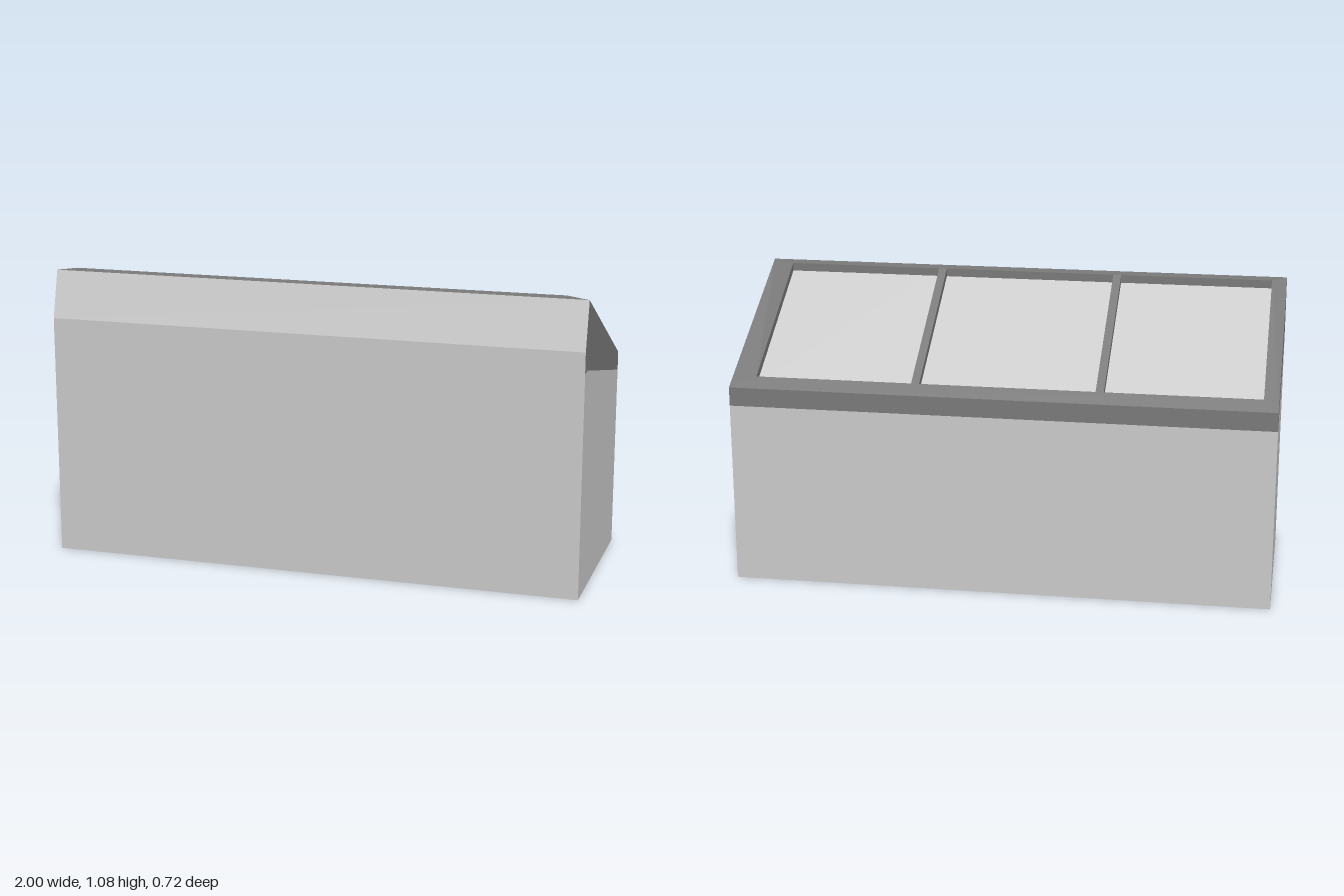
import * as THREE from 'three';

const light = new THREE.MeshStandardMaterial({ color: 0xcccccc, side: THREE.DoubleSide, flatShading: true });
const dark = new THREE.MeshStandardMaterial({ color: 0x7a7a7a, side: THREE.DoubleSide, flatShading: true });

// Flat or slightly twisted sheets, each given by four corners (counter-clockwise from outside)
function sheets(quads) {
  const positions = [];
  for (const [a, b, c, d] of quads) positions.push(...a, ...b, ...c, ...a, ...c, ...d);
  const geometry = new THREE.BufferGeometry();
  geometry.setAttribute('position', new THREE.Float32BufferAttribute(positions, 3));
  geometry.computeVertexNormals();
  return geometry;
}

const profile = (points) => new THREE.Shape(points.map(([z, y]) => new THREE.Vector2(z, y)));

// Side profile (z, y) as a thin end panel facing outwards at x
function endPanel(points, x) {
  const geometry = new THREE.ShapeGeometry(profile(points));
  geometry.rotateY(-Math.PI / 2);
  if (x > 0) geometry.setIndex([...geometry.index.array].reverse());
  geometry.computeVertexNormals();
  return geometry.translate(x, 0, 0);
}

// Side profile (z, y) extruded from x0 to x1
function prism(points, x0, x1) {
  const geometry = new THREE.ExtrudeGeometry(profile(points), { depth: x1 - x0, bevelEnabled: false });
  return geometry.rotateY(-Math.PI / 2).translate(x1, 0, 0);
}

export function createModel() {
  const group = new THREE.Group();
  const add = (name, geometry, material) => {
    const mesh = new THREE.Mesh(geometry, material);
    mesh.name = name;
    group.add(mesh);
  };

  const Z = 0.36, ridgeZ = 0.315, ridgeY = 1.075, backY = 0.75;
  const x0 = -0.945, x1 = 0.91, z0 = -0.305, z1 = 0.255; // lid opening
  const slope = (z) => ridgeY + (z - z1) * 0.527;

  // Open-bottomed body with a leaning upper front
  add('frontPanel', sheets([
    [[-1, 0, Z], [1, 0, Z], [1, 0.9, Z], [-1, 0.9, Z]],
    [[-1, 0.9, Z], [1, 0.9, Z], [1, ridgeY, ridgeZ], [-1, ridgeY, ridgeZ]],
  ]), light);
  add('backPanel', sheets([[[1, 0, -Z], [-1, 0, -Z], [-1, 0.68, -Z], [1, 0.68, -Z]]]), light);
  for (const x of [-1, 1]) {
    const side = x > 0 ? 'left' : 'right';
    add(side + 'SidePanel', endPanel([[-Z, 0], [Z, 0], [Z, 0.825], [0.31, 0.825], [-Z, 0.68]], x), light);
    add(side + 'LidEnd', endPanel(
      [[-Z, 0.68], [0.31, 0.825], [Z, 0.825], [Z, 0.9], [ridgeZ, ridgeY], [-Z, backY]], x), dark);
  }

  // Lid rails: outer rim, inner rim and the lower lip of the opening
  add('lidBackEdge', sheets([[[1, 0.68, -Z], [-1, 0.68, -Z], [-1, backY, -Z], [1, backY, -Z]]]), dark);
  const outer = [[-1, ridgeY, ridgeZ], [1, ridgeY, ridgeZ], [1, backY, -Z], [-1, backY, -Z]];
  const inner = [[x0, z1], [x1, z1], [x1, z0], [x0, z0]].map(([x, z]) => [x, slope(z), z]);
  const lip = inner.map(([x, y, z]) => [x, y - 0.06, z]);
  const rails = [];
  for (let i = 0; i < 4; i++) {
    const j = (i + 1) % 4;
    rails.push([outer[i], outer[j], inner[j], inner[i]], [inner[i], inner[j], lip[j], lip[i]]);
  }
  add('lidRails', sheets(rails), dark);

  // Dividing bars across the opening
  const bars = [[-0.375, -0.345], [0.3, 0.33]];
  for (const [a, b] of bars) {
    add('dividingBar', prism(
      [[z0, slope(z0) - 0.06], [z1, slope(z1) - 0.06], [z1, slope(z1)], [z0, slope(z0)]], a, b), dark);
  }

  // Deep infill blocks with sloping tops, set just below the lid
  const blocks = [[x0, bars[0][0]], [bars[0][1], bars[1][0]], [bars[1][1], x1]];
  for (const [a, b] of blocks) {
    add('infillBlock', prism(
      [[z0, 0.43], [-z0, 0.43], [-z0, slope(-z0) - 0.03], [z0, slope(z0) - 0.03]], a, b), light);
  }
  return group;
}
